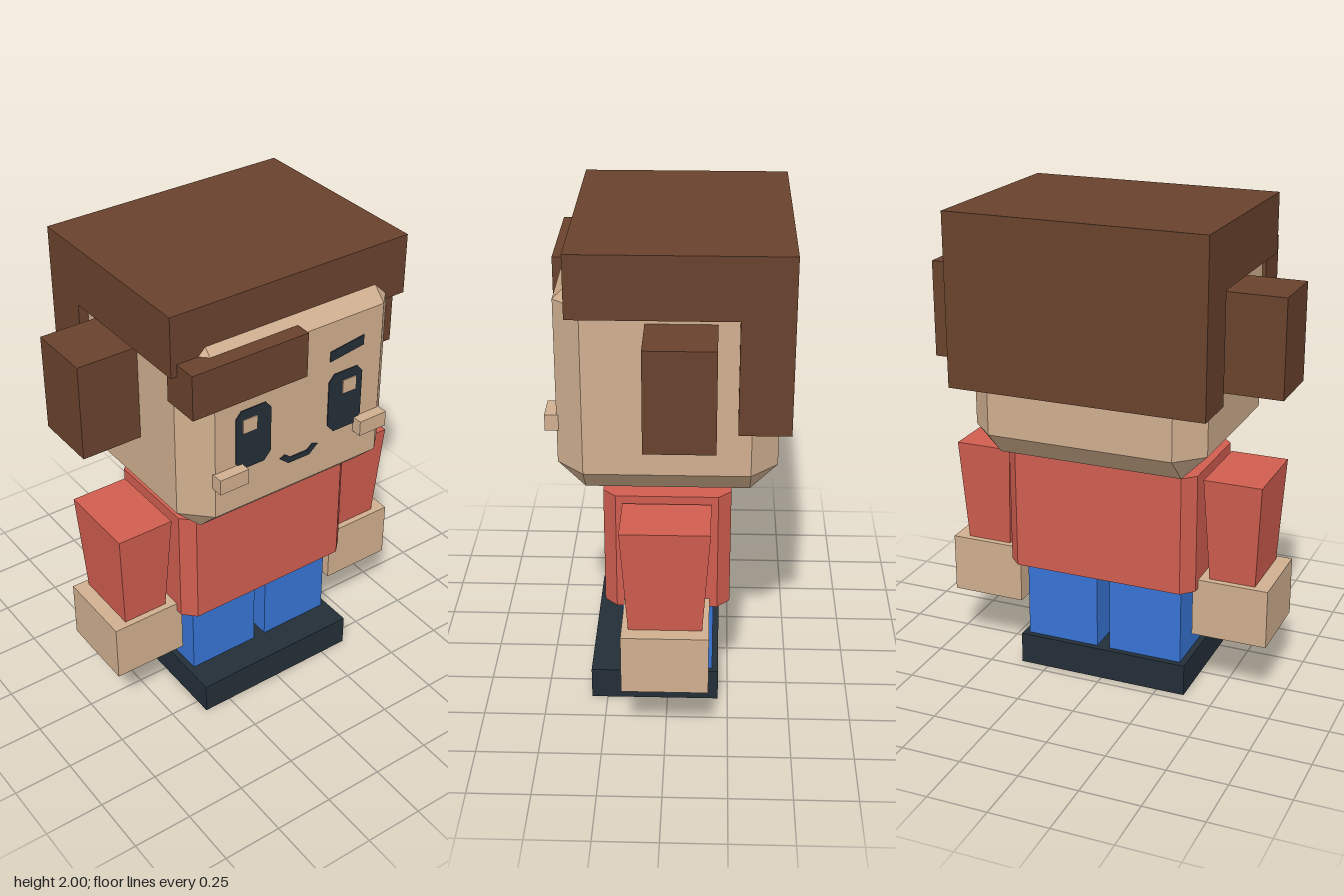
import * as THREE from 'three';
import { ConvexGeometry } from 'three/addons/geometries/ConvexGeometry.js';

const mat = (name, color) => {
  const m = new THREE.MeshStandardMaterial({ color });
  m.name = name;
  return m;
};

export function createModel() {
  const skin = mat('skin', 0xd0af8f);
  const hair = mat('brown hair', 0x69422d);
  const red = mat('red shirt', 0xd05d4f);
  const blue = mat('blue trousers', 0x3774d4);
  const dark = mat('dark navy', 0x232e38);
  const model = new THREE.Group();
  model.name = 'blockFigure';

  const add = (name, geometry, material) => {
    const mesh = new THREE.Mesh(geometry, material);
    mesh.name = name;
    model.add(mesh);
    return mesh;
  };
  // Box given by its limits on each axis
  const box = (name, material, [x0, x1], [y0, y1], [z0, z1]) => {
    const g = new THREE.BoxGeometry(x1 - x0, y1 - y0, z1 - z0);
    g.translate((x0 + x1) / 2, (y0 + y1) / 2, (z0 + z1) / 2);
    return add(name, g, material);
  };
  // Thin plate on the face, z is its front
  const plate = (name, material, points, z) => {
    const shape = new THREE.Shape(points.map(([x, y]) => new THREE.Vector2(x, y)));
    const g = new THREE.ExtrudeGeometry(shape, { depth: 0.008, bevelEnabled: false });
    g.translate(0, 0, z - 0.008);
    return add(name, g, material);
  };

  // Shoes
  box('shoes', dark, [-0.37, 0.37], [0, 0.135], [-0.21, 0.315]);

  // Torso with chamfered upright edges
  const w = 0.41, d = 0.25, c = 0.05;
  const outline = [[w, d - c], [w - c, d], [c - w, d], [-w, d - c],
    [-w, c - d], [c - w, -d], [w - c, -d], [w, c - d]];
  const torso = new THREE.ExtrudeGeometry(
    new THREE.Shape(outline.map(([x, y]) => new THREE.Vector2(x, y))),
    { depth: 0.5, bevelEnabled: false });
  torso.rotateX(-Math.PI / 2).translate(0, 0.48, 0);
  add('torso', torso, red);

  // Head: box with all edges chamfered
  const h = [0.49, 0.4375, 0.4225], k = 0.105, corners = [];
  for (const sx of [-1, 1]) for (const sy of [-1, 1]) for (const sz of [-1, 1])
    for (let axis = 0; axis < 3; axis++) {
      const p = h.map((v, i) => (i === axis ? v : v - k));
      corners.push(new THREE.Vector3(sx * p[0], sy * p[1], sz * p[2]));
    }
  const head = new ConvexGeometry(corners);
  head.translate(0, 1.4475, -0.0025);
  add('head', head, skin);

  // Hair
  box('hairTop', hair, [-0.53, 0.53], [1.755, 2], [-0.467, 0.365]);
  box('hairBack', hair, [-0.53, 0.53], [1.305, 1.755], [-0.467, -0.268]);
  box('fringe', hair, [-0.505, 0], [1.62, 1.805], [0.3, 0.46]);

  // Paired parts
  for (const s of [-1, 1]) {
    const side = s > 0 ? 'left' : 'right';
    const span = (a, b) => (s > 0 ? [a, b] : [-b, -a]);
    const flip = (pts) => pts.map(([x, y]) => [s * x, y]);

    box(side + 'Leg', blue, span(0.028, 0.343), [0.135, 0.48], [-0.185, 0.185]);
    box(side + 'Hand', skin, span(0.387, 0.702), [0.27, 0.518], [-0.17, 0.17]);
    box(side + 'HairBun', hair, span(0.48, 0.74), [1.33, 1.728], [-0.188, 0.077]);
    box(side + 'Cheek', skin, span(0.265, 0.393), [1.25, 1.315], [0.405, 0.465]);

    // Sleeve tapering towards the hand
    const sleeve = new THREE.BoxGeometry(0.24, 0.44, 0.345);
    const pos = sleeve.attributes.position;
    for (let i = 0; i < pos.count; i++)
      if (pos.getY(i) < 0) {
        pos.setX(i, pos.getX(i) * 0.8);
        pos.setZ(i, pos.getZ(i) * 0.83);
      }
    sleeve.computeVertexNormals();
    sleeve.translate(s * 0.545, 0.735, 0);
    add(side + 'Sleeve', sleeve, red);

    // Eye, highlight and brow
    plate(side + 'Eye', dark, flip([[0.165, 1.29], [0.265, 1.29], [0.295, 1.325], [0.295, 1.52],
      [0.27, 1.55], [0.16, 1.55], [0.135, 1.52], [0.135, 1.325]]), 0.424);
    plate(side + 'EyeHighlight', skin,
      flip([[0.2, 1.45], [0.265, 1.45], [0.265, 1.51], [0.2, 1.51]]), 0.428);
    plate(side + 'Brow', dark,
      flip([[0.137, 1.612], [0.295, 1.635], [0.295, 1.677], [0.137, 1.655]]), 0.424);
  }

  // Mouth
  plate('mouth', dark, [[-0.09, 1.263], [-0.05, 1.228], [0.05, 1.228], [0.09, 1.263],
    [0.065, 1.273], [0.04, 1.252], [-0.04, 1.252], [-0.065, 1.273]], 0.424);

  return model;
}
